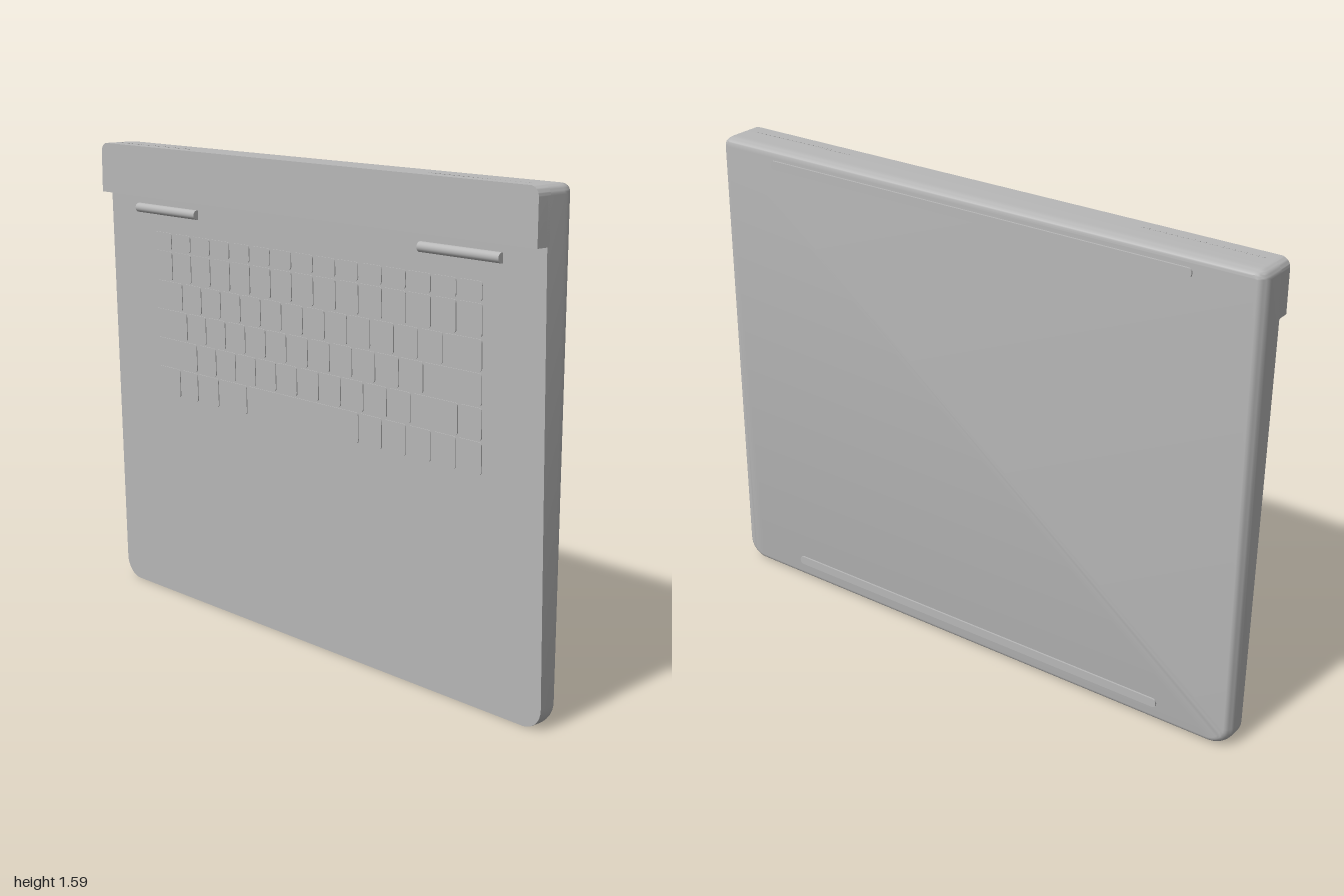
import * as THREE from 'three';
import { toCreasedNormals } from 'three/addons/utils/BufferGeometryUtils.js';

const H = 1.59, SLOPE = 0.0235, FRONT = 0.005;

// Outline with small top corners and larger bottom corners, counter-clockwise
function outline(side, top, bottom) {
  const pts = [], steps = 8;
  const corners = [
    [1, H - top, -1, 0.03], [-1, H - top, -1, 0.03],
    [-1, bottom, 1, 0.07], [1, bottom, 1, 0.07],
  ];
  corners.forEach(([sx, y, inward, radius], i) => {
    const r = Math.max(radius - side * 0.6, 0.015);
    for (let k = 0; k <= steps; k++) {
      const a = (i + k / steps) * Math.PI / 2;
      pts.push([sx * (1 - side - r) + r * Math.cos(a), y + inward * r + r * Math.sin(a)]);
    }
  });
  return pts;
}

// Wedge body: outlines lofted from the rounded back to the sloping front
function bodyGeometry() {
  const rings = [];
  const steps = 6;
  for (let i = 0; i <= steps; i++) {
    const a = (i / steps) * Math.PI / 2, inset = 1 - Math.sin(a);
    const z = -0.028 - 0.045 * Math.cos(a);
    rings.push(outline(0.028 * inset, 0.012 * inset, 0.024 * inset).map(([x, y]) => [x, y, z]));
  }
  rings.push(outline(0, 0, 0).map(([x, y]) => [x, y, FRONT + SLOPE * y]));
  const n = rings[0].length, pos = rings.flat(2), idx = [];
  for (let r = 0; r < rings.length - 1; r++) {
    for (let i = 0; i < n; i++) {
      const j = (i + 1) % n, a = r * n, b = a + n;
      idx.push(a + i, a + j, b + j, a + i, b + j, b + i);
    }
  }
  const last = (rings.length - 1) * n;
  for (let i = 1; i < n - 1; i++) {
    idx.push(0, i + 1, i);
    idx.push(last, last + i, last + i + 1);
  }
  const g = new THREE.BufferGeometry();
  g.setAttribute('position', new THREE.Float32BufferAttribute(pos, 3));
  g.setIndex(idx);
  return toCreasedNormals(g, 0.6);
}

function roundedRect(x0, y0, x1, y1, r) {
  const s = new THREE.Shape();
  s.moveTo(x0 + r, y0);
  s.lineTo(x1 - r, y0);
  s.quadraticCurveTo(x1, y0, x1, y0 + r);
  s.lineTo(x1, y1 - r);
  s.quadraticCurveTo(x1, y1, x1 - r, y1);
  s.lineTo(x0 + r, y1);
  s.quadraticCurveTo(x0, y1, x0, y1 - r);
  s.lineTo(x0, y0 + r);
  s.quadraticCurveTo(x0, y0, x0 + r, y0);
  return s;
}

const extrude = (shape, depth, curveSegments = 4) =>
  new THREE.ExtrudeGeometry(shape, { depth, bevelEnabled: false, curveSegments });

export function createModel() {
  const model = new THREE.Group();
  const grey = new THREE.MeshStandardMaterial({ color: 0xb8b8b8 });
  grey.name = 'casing grey';
  const add = (name, geometry, x = 0, y = 0, z = 0, parent = model) => {
    const m = new THREE.Mesh(geometry, grey);
    m.name = name;
    m.position.set(x, y, z);
    parent.add(m);
    return m;
  };

  add('body', bodyGeometry());

  // Raised rear block with rounded upper corners
  const r = 0.03, block = new THREE.Shape();
  block.moveTo(-1, 1.42);
  block.lineTo(1, 1.42);
  block.lineTo(1, H - r);
  block.absarc(1 - r, H - r, r, 0, Math.PI / 2, false);
  block.lineTo(-1 + r, H);
  block.absarc(-1 + r, H - r, r, Math.PI / 2, Math.PI, false);
  add('rearBlock', toCreasedNormals(extrude(block, 0.05, 8), 0.6), 0, 0, 0.029);

  // Hinge barrels
  for (const s of [-1, 1]) {
    const hinge = add('hinge', new THREE.CylinderGeometry(0.016, 0.016, 0.32, 20), s * 0.68, 1.375, 0.041);
    hinge.rotation.z = Math.PI / 2;
  }

  // Keyboard follows the slope of the front face
  const keyboard = new THREE.Group();
  keyboard.name = 'keyboard';
  keyboard.position.z = FRONT;
  keyboard.rotation.x = Math.atan(SLOPE);
  model.add(keyboard);

  const P = 0.1023, E = 0.767;
  const run = (start, count) => Array.from({ length: count }, (_, i) => start + i * P);
  const rows = [
    [1.243, 1.3, run(-E, 15)],
    [1.138, 1.236, run(-E, 15)],
    [1.038, 1.132, [-E, ...run(-0.615, 13)]],
    [0.936, 1.032, [-E, ...run(-0.594, 12)]],
    [0.834, 0.93, [-E, ...run(-0.545, 11), 0.672]],
    [0.73, 0.828, [-E, -0.642, -0.545, -0.433, -0.286, 0.25, 0.353, 0.458, 0.561, 0.665]],
  ];
  const gap = 0.003;
  for (const [y0, y1, starts] of rows) {
    starts.forEach((x0, i) => {
      const x1 = i + 1 < starts.length ? starts[i + 1] : E;
      add('key', extrude(roundedRect(x0 + gap, y0, x1 - gap, y1, 0.01), 0.007), 0, 0, -0.004, keyboard);
    });
  }

  // Long rubber feet on the back
  for (const [name, y, half] of [['upperFoot', 1.54, 0.78], ['lowerFoot', 0.072, 0.74]]) {
    add(name, extrude(roundedRect(-half, -0.015, half, 0.015, 0.014), 0.01), 0, y, -0.079);
  }

  // Small vent ribs on the top edge
  for (const s of [-1, 1]) {
    for (let i = 0; i < 22; i++) {
      add('ventRib', new THREE.BoxGeometry(0.009, 0.004, 0.006), s * (0.55 + i * 0.0185), H - 0.001, 0.036);
    }
  }
  return model;
}
